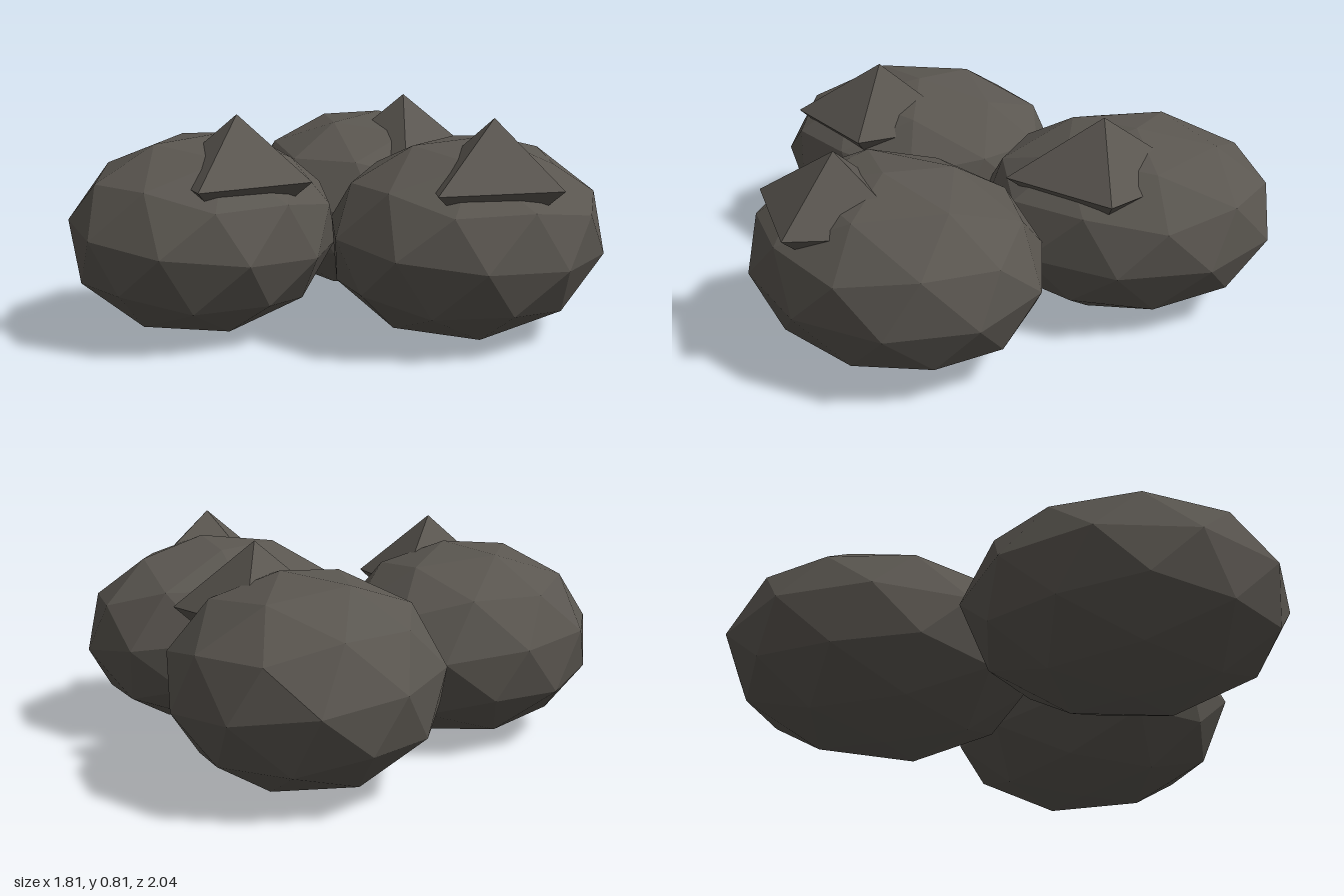
import * as THREE from 'three';

export function createModel() {
  const model = new THREE.Group();
  model.name = 'boulderCluster';

  const stone = new THREE.MeshStandardMaterial({ color: 0x5a5650, flatShading: true });
  stone.name = 'dark stone';

  // Faceted boulder: a turned icosphere squashed into an ellipsoid
  const boulderGeometry = new THREE.IcosahedronGeometry(1, 1);
  boulderGeometry.rotateZ(-0.73);
  boulderGeometry.rotateY(0.16);
  boulderGeometry.scale(0.48, 0.37, 0.57);
  boulderGeometry.translate(0, 0.365, 0);

  // Pointed shard half sunk into the top of each boulder
  const shardGeometry = new THREE.OctahedronGeometry(1, 0);
  shardGeometry.scale(0.28, 0.23, 0.35);
  shardGeometry.translate(0.18, 0.58, 0.12);

  // The same rock three times, each turned about the vertical: x, z, turn
  const placements = [
    ['rightBackRock', -0.40, -0.48, 0.64],
    ['rightFrontRock', -0.40, 0.48, 0.34],
    ['leftRock', 0.43, -0.01, 0],
  ];
  for (const [name, x, z, turn] of placements) {
    const rock = new THREE.Group();
    rock.name = name;
    const boulder = new THREE.Mesh(boulderGeometry, stone);
    boulder.name = 'boulder';
    const shard = new THREE.Mesh(shardGeometry, stone);
    shard.name = 'shard';
    rock.add(boulder, shard);
    rock.position.set(x, 0, z);
    rock.rotation.y = turn;
    model.add(rock);
  }
  return model;
}
